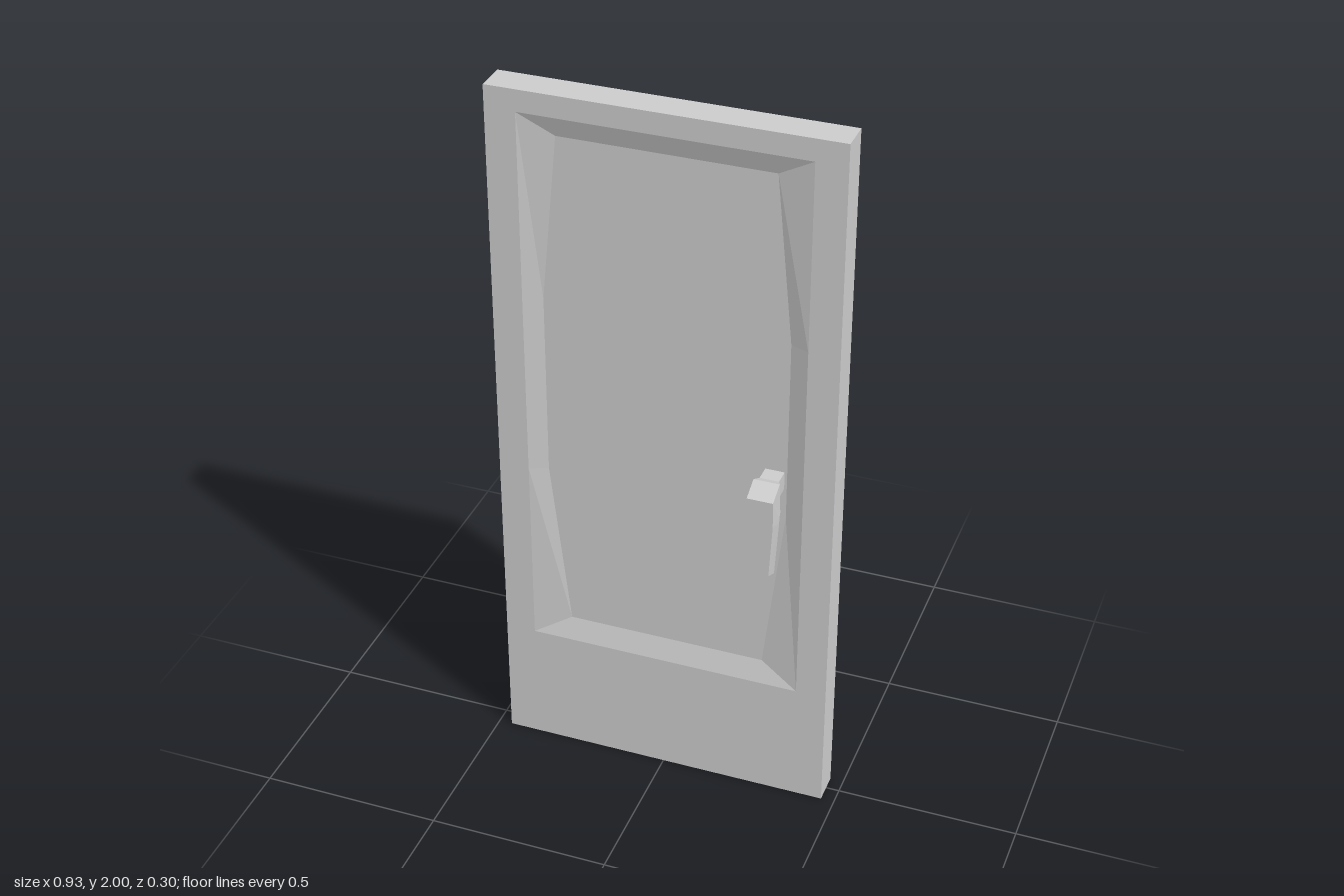
import * as THREE from 'three';

const FRONT = 0.048, BACK = -0.04, DEPTH = 0.02, HANDLE_X = 0.297;

// Non-indexed geometry from a list of four-cornered faces
function fromQuads(quads) {
  const pos = [];
  for (const [a, b, c, d] of quads) pos.push(...a, ...b, ...c, ...a, ...c, ...d);
  const g = new THREE.BufferGeometry();
  g.setAttribute('position', new THREE.Float32BufferAttribute(pos, 3));
  g.computeVertexNormals();
  return g;
}

export function createModel() {
  const model = new THREE.Group();
  model.name = 'door';
  const material = new THREE.MeshStandardMaterial({ color: 0xcccccc, flatShading: true });
  const add = (parent, name, geometry) => {
    const mesh = new THREE.Mesh(geometry, material);
    mesh.name = name;
    parent.add(mesh);
    return mesh;
  };

  // Right edge of the recess, bottom to top: [y outer, x outer, y inner, x inner]
  const edge = [
    [0.356, 0.38, 0.419, 0.275],
    [0.9, 0.38, 0.9, 0.33],
    [1.42, 0.38, 1.42, 0.33],
    [1.94, 0.38, 1.883, 0.285],
  ];
  const loop = [...edge, ...edge.map(([a, b, c, d]) => [a, -b, c, -d]).reverse()];
  const outer = loop.map(p => new THREE.Vector2(p[1], p[0]));
  const inner = loop.map(p => new THREE.Vector2(p[3], p[2]));

  // Slab with an opening for the recessed panels
  const slab = new THREE.Shape();
  slab.moveTo(-0.463, 0).lineTo(0.463, 0).lineTo(0.463, 2).lineTo(-0.463, 2).closePath();
  slab.holes.push(new THREE.Path(outer));
  const frame = new THREE.ExtrudeGeometry(slab, { depth: FRONT - BACK, bevelEnabled: false });
  add(model, 'doorFrame', frame.translate(0, 0, BACK));

  // Sloped border and sunken panel, once per side
  const border = fromQuads(outer.map((o, i) => {
    const j = (i + 1) % outer.length;
    return [
      [o.x, o.y, 0], [outer[j].x, outer[j].y, 0],
      [inner[j].x, inner[j].y, -DEPTH], [inner[i].x, inner[i].y, -DEPTH],
    ];
  }));
  const panel = new THREE.ShapeGeometry(new THREE.Shape(inner)).translate(0, 0, -DEPTH);

  // Handle sections from the door outward, then down:
  // [top/outer y, z, half width, under/inner y, z, half width]
  const sections = [
    [1.04, 0.015, 0.026, 0.99, 0.015, 0.026],
    [1.04, 0.073, 0.026, 0.987, 0.073, 0.026],
    [1.048, 0.095, 0.035, 0.965, 0.1, 0.04],
    [1.023, 0.148, 0.035, 0.955, 0.11, 0.041],
    [0.95, 0.148, 0.036, 0.94, 0.11, 0.041],
    [0.795, 0.148, 0.028, 0.78, 0.11, 0.031],
  ];
  const rings = sections.map(([ty, tz, tw, by, bz, bw]) =>
    [[tw, ty, tz], [-tw, ty, tz], [-bw, by, bz], [bw, by, bz]]);
  const quads = [rings[rings.length - 1]];
  for (let i = 0; i < rings.length - 1; i++) {
    for (let k = 0; k < 4; k++) {
      const n = (k + 1) % 4;
      quads.push([rings[i][k], rings[i][n], rings[i + 1][n], rings[i + 1][k]]);
    }
  }
  const handle = fromQuads(quads);

  for (const [side, z, turn] of [['front', FRONT, 0], ['back', BACK, Math.PI]]) {
    const recess = new THREE.Group();
    recess.name = side + 'Recess';
    recess.position.z = z;
    recess.rotation.y = turn;
    add(recess, side + 'Border', border);
    add(recess, side + 'Panel', panel);
    model.add(recess);

    const lever = add(model, side + 'Handle', handle);
    lever.position.x = HANDLE_X;
    lever.rotation.y = turn;
  }
  return model;
}
